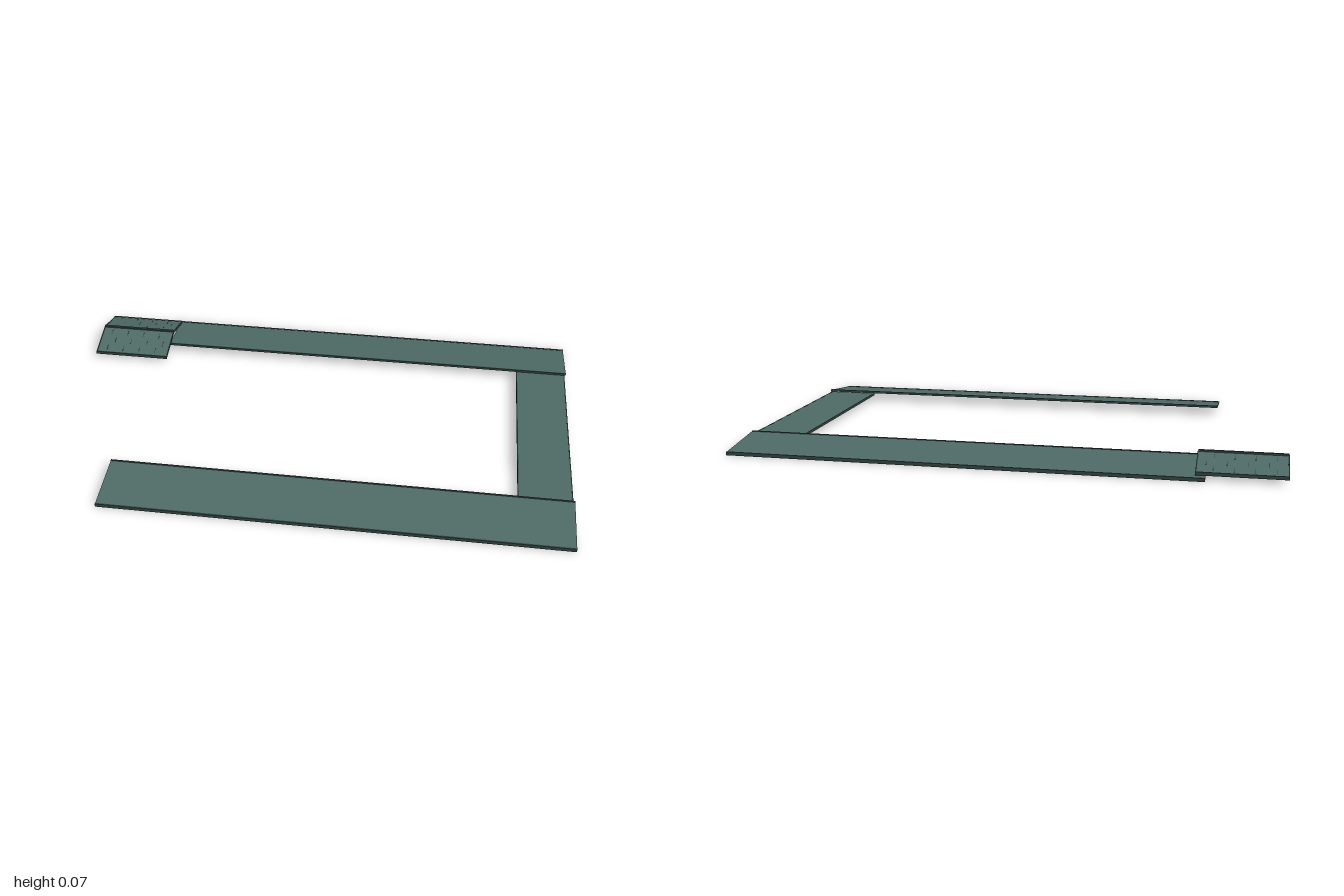
import * as THREE from 'three';

const mat = (name, color) => {
  const m = new THREE.MeshStandardMaterial({ color, side: THREE.DoubleSide });
  m.name = name;
  return m;
};

export function createModel() {
  const model = new THREE.Group();
  model.name = 'canopyRoofs';
  const roof = mat('slateGreen', 0x4f6b67);
  const trim = mat('darkTrim', 0x334542);
  const plaster = mat('paleGable', 0xc9cfc6);

  // Box spanning x0..x1 whose top face runs between two [z, y] points
  function slab(name, parent, x0, x1, [za, ya], [zb, yb], thick, material) {
    const dz = zb - za, dy = yb - ya, len = Math.hypot(dz, dy);
    const geo = new THREE.BoxGeometry(x1 - x0, thick, len);
    geo.translate(0, -thick / 2, 0);
    const mesh = new THREE.Mesh(geo, material);
    mesh.name = name;
    mesh.rotation.x = -Math.atan2(dy, dz);
    mesh.position.set((x0 + x1) / 2, (ya + yb) / 2, (za + zb) / 2);
    parent.add(mesh);
  }
  function box(name, parent, x0, x1, y0, y1, z0, z1, material) {
    const mesh = new THREE.Mesh(new THREE.BoxGeometry(x1 - x0, y1 - y0, z1 - z0), material);
    mesh.name = name;
    mesh.position.set((x0 + x1) / 2, (y0 + y1) / 2, (z0 + z1) / 2);
    parent.add(mesh);
  }

  // Long sloping canopies, front and back
  for (const s of [1, -1]) {
    const canopy = new THREE.Group();
    canopy.name = s > 0 ? 'frontCanopy' : 'backCanopy';
    const x0 = -0.725, x1 = 0.995;
    const inner = [s * 0.402, 0.038], outer = [s * 0.618, 0.011];
    const [a, b] = s > 0 ? [inner, outer] : [outer, inner];
    slab('canopySlope', canopy, x0, x1, a, b, 0.006, roof);
    const e = s * 0.619;
    box('eaveFascia', canopy, x0, x1, 0, 0.013, e - 0.003, e + 0.003, trim);
    const r = s * 0.402;
    box('upperFlashing', canopy, x0, x1, 0.031, 0.04, r - 0.003, r + 0.003, trim);
    model.add(canopy);
  }

  // Flat canopy joining the two along the left side
  const side = new THREE.Group();
  side.name = 'sideCanopy';
  box('sideDeck', side, 0.793, 0.988, 0.023, 0.03, -0.402, 0.402, roof);
  for (const x of [0.793, 0.988])
    box('sideFascia', side, x - 0.002, x + 0.002, 0.021, 0.0305, -0.402, 0.402, trim);
  model.add(side);

  // Small gabled roof at the back right corner
  const gable = new THREE.Group();
  gable.name = 'gabledRoof';
  const gx0 = -0.998, gx1 = -0.692, zr = -0.457, yr = 0.064, half = 0.14, ye = 0.026;
  const slope = (t, s, lift = 0) => [zr + s * half * t, yr + (ye - yr) * t + lift];
  for (const s of [1, -1]) {
    const span = (t0, t1, lift) =>
      s > 0 ? [slope(t0, s, lift), slope(t1, s, lift)] : [slope(t1, s, lift), slope(t0, s, lift)];
    slab('gableSlope', gable, gx0, gx1, ...span(0, 1, 0), 0.006, roof);
    const ze = zr + s * 0.141;
    box('gableEave', gable, gx0 - 0.002, gx1 + 0.002, 0.016, 0.028, ze - 0.003, ze + 0.003, trim);
    // Verge boards at both ends
    for (const x of [gx0, gx1])
      slab('vergeBoard', gable, x - 0.002, x + 0.002, ...span(0, 1, 0.001), 0.009, trim);
    // Staggered tile joints
    for (let row = 0; row < 3; row++)
      for (let i = 0; i < 4; i++) {
        const x = gx0 + 0.04 + i * 0.07 + (row % 2) * 0.025;
        const t = 0.12 + row * 0.3;
        slab('tileJoint', gable, x - 0.001, x + 0.001, ...span(t, t + 0.2, 0.0008), 0.002, trim);
      }
  }
  box('ridgeCap', gable, gx0, gx1, 0.062, 0.069, zr - 0.005, zr + 0.005, trim);

  // Pale triangular infill at each end
  const tri = new THREE.Shape([
    new THREE.Vector2(-half + 0.005, ye - 0.001),
    new THREE.Vector2(half - 0.005, ye - 0.001),
    new THREE.Vector2(0, yr - 0.004),
  ]);
  for (const x of [gx0 + 0.004, gx1 - 0.004]) {
    const end = new THREE.Mesh(new THREE.ShapeGeometry(tri), plaster);
    end.name = 'gableEnd';
    end.rotation.y = Math.PI / 2;
    end.position.set(x, 0, zr);
    gable.add(end);
  }
  model.add(gable);
  return model;
}
